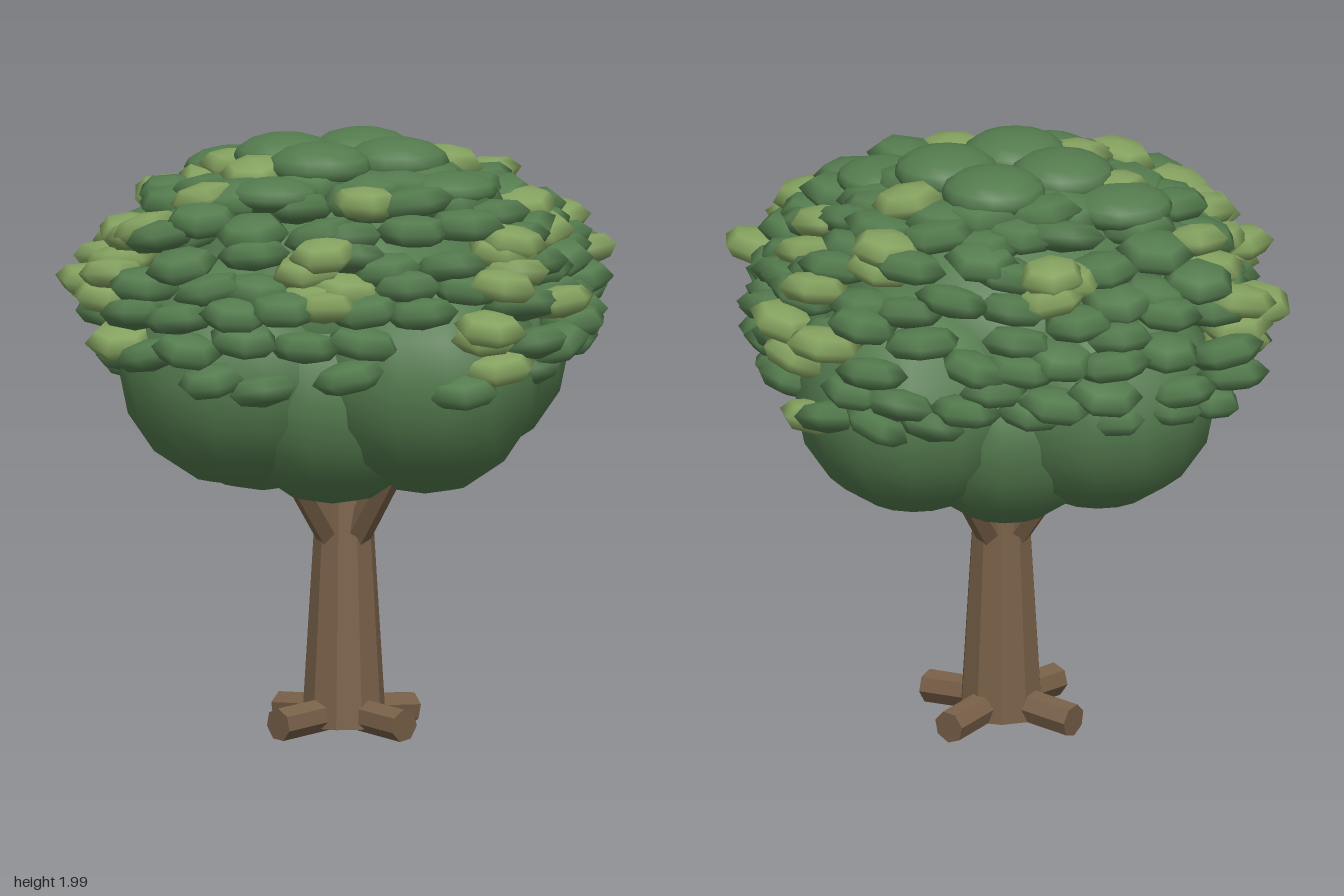
import * as THREE from 'three';

const bark = new THREE.MeshStandardMaterial({ color: 0x786048, flatShading: true });
bark.name = 'bark brown';
const leafDark = new THREE.MeshStandardMaterial({ color: 0x547b4e });
leafDark.name = 'leaf green';
const leafLight = new THREE.MeshStandardMaterial({ color: 0x84a15f });
leafLight.name = 'light leaf green';

// Outer radius of the crown at 16 even angles, from +x towards +z
const crownRadius = [0.97, 0.89, 0.86, 0.99, 0.99, 0.88, 0.92, 1.06, 1.0, 0.92, 0.93, 1.04, 0.94, 0.86, 0.88, 1.02];
// Leaf tiers: height, share of the crown radius, leaf radius, share of leaves kept
const tiers = [
  [1.29, 0.95, 0.115, 0.65], [1.39, 1.0, 0.12, 0.8], [1.49, 1.01, 0.12, 0.9], [1.59, 0.94, 0.125, 0.9],
  [1.68, 0.87, 0.125, 0.95], [1.76, 0.77, 0.13, 1], [1.82, 0.64, 0.14, 1], [1.87, 0.5, 0.145, 1],
];
// Places, seen from above, where the leaves are lighter (x, z)
const lightSpots = [
  [-0.42, -0.76], [-0.55, -0.68], [-0.4, -0.54], [-0.85, -0.18], [-0.72, -0.02], [-0.56, 0.09], [-0.87, 0.03],
  [0.57, -0.15], [0.76, 0], [0.36, 0.02], [0.87, -0.2], [0.85, 0.05], [0.5, 0.3], [-0.15, 0.46], [-0.36, 0.58],
  [0.4, 0.8], [0.28, 0.68], [-0.28, -0.26], [0.2, -0.56], [0.17, 0.84], [-0.7, -0.18], [-0.36, 0.05],
];

let seed = 11;
function rand() {
  seed = (seed * 16807) % 2147483647;
  return seed / 2147483647;
}

function radiusAt(angle) {
  const t = (((angle / (Math.PI * 2)) % 1) + 1) % 1 * 16;
  const i = Math.floor(t) % 16;
  return THREE.MathUtils.lerp(crownRadius[i], crownRadius[(i + 1) % 16], t - Math.floor(t));
}

// Faceted limb between two points
function limb(name, from, to, r0, r1, sides) {
  const dir = to.clone().sub(from);
  const mesh = new THREE.Mesh(new THREE.CylinderGeometry(r1, r0, dir.length(), sides), bark);
  mesh.position.copy(from).addScaledVector(dir, 0.5);
  mesh.quaternion.setFromUnitVectors(new THREE.Vector3(0, 1, 0), dir.normalize());
  mesh.name = name;
  return mesh;
}

export function createModel() {
  const tree = new THREE.Group();
  tree.name = 'tree';
  const cx = -0.01;

  // Trunk
  tree.add(limb('trunk', new THREE.Vector3(cx, 0.035, 0), new THREE.Vector3(cx, 0.85, 0), 0.14, 0.09, 10));

  // Four roots and four branches turned like a pinwheel
  const polar = (angle, r, y) => new THREE.Vector3(cx + Math.cos(angle) * r, y, Math.sin(angle) * r);
  for (let i = 0; i < 4; i++) {
    const a = -0.3 + (i * Math.PI) / 2;
    tree.add(limb('root', polar(a, 0, 0.085), polar(a, 0.295, 0.062), 0.055, 0.056, 7));
    tree.add(limb('branch', polar(a, 0.05, 0.66), polar(a, 0.33, 1.05), 0.05, 0.045, 6));
  }

  // Big rounded masses under the leaves
  const massGeo = new THREE.SphereGeometry(1, 14, 8);
  function mass(name, p, rx, ry) {
    const m = new THREE.Mesh(massGeo, leafDark);
    m.name = name;
    m.position.copy(p);
    m.scale.set(rx, ry, rx);
    tree.add(m);
  }
  for (let i = 0; i < 4; i++) {
    const a = -0.2 + (i * Math.PI) / 2;
    mass('outerFoliageMass', polar(a, 0.43, 1.26), 0.4, 0.39);
    mass('lowerFoliageMass', polar(a + Math.PI / 4, 0.27, 1.18), 0.37, 0.37);
  }
  mass('foliageCore', new THREE.Vector3(cx, 1.44, 0), 0.56, 0.42);

  // Flattened leaf clumps
  const leaves = new THREE.Group();
  leaves.name = 'leafClumps';
  tree.add(leaves);
  const leafGeo = new THREE.SphereGeometry(1, 6, 4);
  function addLeaf(x, y, z, size, material) {
    const leaf = new THREE.Mesh(leafGeo, material);
    leaf.name = 'leafClump';
    leaf.position.set(x, y, z);
    leaf.scale.set(size * (0.95 + rand() * 0.2), 0.055, size);
    leaf.rotation.set((rand() - 0.5) * 0.5, rand() * 6.28, (rand() - 0.5) * 0.35 + (x > 0.4 ? 0.22 : 0.06), 'ZXY');
    leaves.add(leaf);
  }

  // Uneven tiers of leaves around the crown
  tiers.forEach(([y, share, size, keep], tier) => {
    const count = Math.round((2 * Math.PI * share * 0.85) / (size * 1.5));
    for (let i = 0; i < count; i++) {
      const jitter = rand();
      if (rand() > keep) continue;
      const a = ((i + (tier % 2) * 0.5 + (jitter - 0.5) * 0.5) / count) * Math.PI * 2;
      const r = radiusAt(a) * share - size - rand() * 0.06;
      const x = Math.cos(a) * r;
      const z = Math.sin(a) * r;
      const light = lightSpots.some(([lx, lz]) => Math.hypot(lx - x, lz - z) < 0.075);
      addLeaf(x, y + (rand() - 0.5) * (tier > 5 ? 0.04 : 0.09), z, size, light ? leafLight : leafDark);
    }
  });

  // Light leaves lying on the dome
  for (const [x, z] of lightSpots) {
    const share = Math.hypot(x, z) / radiusAt(Math.atan2(z, x));
    addLeaf(x, 1.92 - 0.5 * share ** 3, z, 0.12, leafLight);
  }

  // Larger smooth clumps capping the crown
  for (const x of [-0.155, 0.125]) {
    for (const z of [-0.14, 0.12]) mass('topClump', new THREE.Vector3(x, 1.92, z), 0.175, 0.08);
  }
  mass('topClump', new THREE.Vector3(-0.23, 1.86, -0.37), 0.17, 0.07);
  mass('topClump', new THREE.Vector3(-0.37, 1.85, 0.22), 0.15, 0.06);
  mass('topClump', new THREE.Vector3(0.21, 1.85, 0.35), 0.16, 0.06);

  return tree;
}
